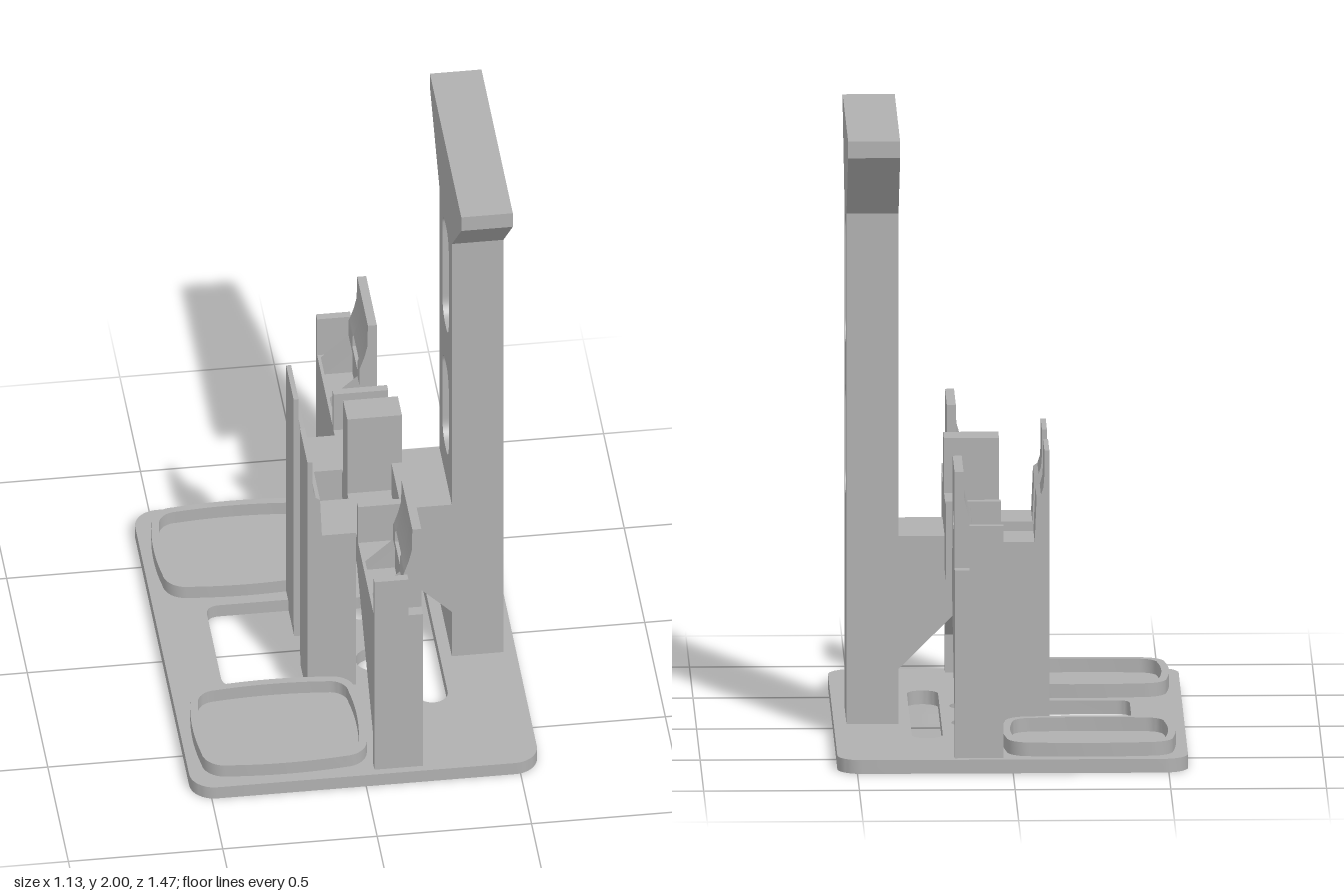
import * as THREE from 'three';
import { toCreasedNormals } from 'three/addons/utils/BufferGeometryUtils.js';

export function createModel() {
  const model = new THREE.Group();
  model.name = 'desktopStand';
  const grey = new THREE.MeshStandardMaterial({ color: 0xb0b0b0 });
  grey.name = 'plain grey';

  const add = (name, geometry) => {
    const mesh = new THREE.Mesh(geometry, grey);
    mesh.name = name;
    model.add(mesh);
    return mesh;
  };
  // Box given by its limits; z limits may come in either order
  const box = (name, x0, x1, y0, y1, za, zb) => add(name,
    new THREE.BoxGeometry(x1 - x0, y1 - y0, Math.abs(zb - za))
      .translate((x0 + x1) / 2, (y0 + y1) / 2, (za + zb) / 2));
  const poly = (pts) => new THREE.Shape(pts.map(([a, b]) => new THREE.Vector2(a, b)));
  const extrude = (shape, depth) => toCreasedNormals(
    new THREE.ExtrudeGeometry(shape, { depth, bevelEnabled: false, curveSegments: 10 }), 0.5);
  // Prisms along each axis: shapes are (z, y), (x, z) and (x, y)
  const prismX = (name, shape, x0, x1) =>
    add(name, extrude(shape, x1 - x0).rotateY(-Math.PI / 2).translate(x1, 0, 0));
  const prismY = (name, shape, y0, y1) =>
    add(name, extrude(shape, y1 - y0).rotateX(Math.PI / 2).translate(0, y1, 0));
  const prismZ = (name, shape, za, zb) =>
    add(name, extrude(shape, Math.abs(zb - za)).translate(0, 0, Math.min(za, zb)));

  // Rounded rectangle; bow pushes the middle of each side outwards
  const rounded = (x0, x1, y0, y1, r, bow = 0, Type = THREE.Shape) => {
    const s = new Type(), cx = (x0 + x1) / 2, cy = (y0 + y1) / 2;
    s.moveTo(x0 + r, y0);
    s.quadraticCurveTo(cx, y0 - bow, x1 - r, y0);
    s.bezierCurveTo(x1 - r * 0.45, y0, x1, y0 + r * 0.45, x1, y0 + r);
    s.quadraticCurveTo(x1 + bow, cy, x1, y1 - r);
    s.bezierCurveTo(x1, y1 - r * 0.45, x1 - r * 0.45, y1, x1 - r, y1);
    s.quadraticCurveTo(cx, y1 + bow, x0 + r, y1);
    s.bezierCurveTo(x0 + r * 0.45, y1, x0, y1 - r * 0.45, x0, y1 - r);
    s.quadraticCurveTo(x0 - bow, cy, x0, y0 + r);
    s.bezierCurveTo(x0, y0 + r * 0.45, x0 + r * 0.45, y0, x0 + r, y0);
    return s;
  };
  const hole = (x0, x1, y0, y1, r) => rounded(x0, x1, y0, y1, r, 0, THREE.Path);

  // Base plate with window, long cable slot and two small holes
  const base = rounded(-0.563, 0.563, -0.735, 0.735, 0.08);
  const frontWindow = new THREE.Path();
  frontWindow.moveTo(-0.35, -0.212);
  frontWindow.lineTo(-0.125, -0.212);
  frontWindow.lineTo(-0.125, -0.077);
  frontWindow.lineTo(-0.085, -0.077);
  frontWindow.lineTo(-0.085, 0.077);
  frontWindow.lineTo(-0.125, 0.077);
  frontWindow.lineTo(-0.125, 0.212);
  frontWindow.lineTo(-0.35, 0.212);
  frontWindow.quadraticCurveTo(-0.395, 0.212, -0.395, 0.167);
  frontWindow.lineTo(-0.395, -0.167);
  frontWindow.quadraticCurveTo(-0.395, -0.212, -0.35, -0.212);
  base.holes.push(frontWindow, hole(0.217, 0.317, -0.385, 0.385, 0.05));
  for (const z of [-0.135, 0.135]) base.holes.push(hole(0.045, 0.185, z - 0.06, z + 0.06, 0.06));
  prismY('basePlate', base, 0, 0.045);

  // Tall tower with flared head and two rounded openings
  const tower = poly([[-0.152, 0.045], [0.152, 0.045], [0.152, 1.717], [0.381, 1.945],
    [0.381, 2], [-0.381, 2], [-0.381, 1.945], [-0.152, 1.717]]);
  tower.holes.push(hole(-0.077, 0.077, 1.27, 1.68, 0.06), hole(-0.077, 0.077, 0.775, 1.122, 0.06));
  prismX('tower', tower, 0.355, 0.522);

  // Braced arm joining the tower to the cross wall
  prismZ('bridgeArm', poly([[0.355, 0.225], [0.355, 0.66], [0.03, 0.66], [0.03, 0.55]]), -0.152, 0.152);

  // Cross wall: beam, diagonal gussets and outer legs
  prismX('crossWall', poly([[0.71, 0.045], [0.71, 0.66], [-0.71, 0.66], [-0.71, 0.045],
    [-0.67, 0.045], [-0.67, 0.17], [-0.285, 0.55], [0.285, 0.55], [0.67, 0.17], [0.67, 0.045]]), 0.03, 0.187);
  box('centreBlock', 0.03, 0.207, 0.55, 0.96, -0.05, 0.05);

  for (const s of [-1, 1]) {
    // Tray: raised rim with bowed sides
    const z0 = s > 0 ? 0.263 : -0.683, z1 = s > 0 ? 0.683 : -0.263;
    const rim = rounded(-0.517, 0.018, z0, z1, 0.075, 0.022);
    rim.holes.push(rounded(-0.493, -0.006, z0 + 0.024, z1 - 0.024, 0.06, 0.02, THREE.Path));
    prismY('trayRim', rim, 0.045, 0.09);

    // Front post and its thin clip
    box('frontPost', -0.127, 0.03, 0.045, 0.66, s * 0.077, s * 0.258);
    prismZ('frontClip', poly([[-0.127, 0.66], [-0.08, 0.66], [-0.086, 0.805], [-0.1, 0.815],
      [-0.108, 0.84], [-0.111, 0.88], [-0.111, 0.96], [-0.127, 0.96]]), s * 0.077, s * 0.258);

    // Back stop and guide fins
    box('backStop', 0.17, 0.207, 0.55, 0.785, s * 0.072, s * 0.255);
    box('innerFin', 0.03, 0.207, 0.55, 0.805, s * 0.285, s * 0.312);
    box('outerFin', 0.03, 0.14, 0.66, 0.805, s * 0.683, s * 0.71);

    // Outer clip, split around its narrow window
    const clipTop = [[0.134, 0.81], [0.147, 0.85], [0.156, 0.89], [0.158, 0.975], [0.187, 0.975]];
    const full = poly([[0.187, 0.66], [0.13, 0.66], [0.13, 0.8], ...clipTop]);
    prismZ('outerClip', full, s * 0.41, s * 0.455);
    prismZ('outerClip', full, s * 0.58, s * 0.67);
    prismZ('outerClipTop', poly([[0.187, 0.81], ...clipTop]), s * 0.455, s * 0.58);
    box('outerClipSill', 0.13, 0.187, 0.66, 0.765, s * 0.455, s * 0.58);

    // Small ramps in front of the outer clip
    const ramp = poly([[0.04, 0.66], [0.13, 0.66], [0.13, 0.74]]);
    prismZ('clipRamp', ramp, s * 0.41, s * 0.455);
    prismZ('clipRamp', ramp, s * 0.58, s * 0.67);
  }
  return model;
}
